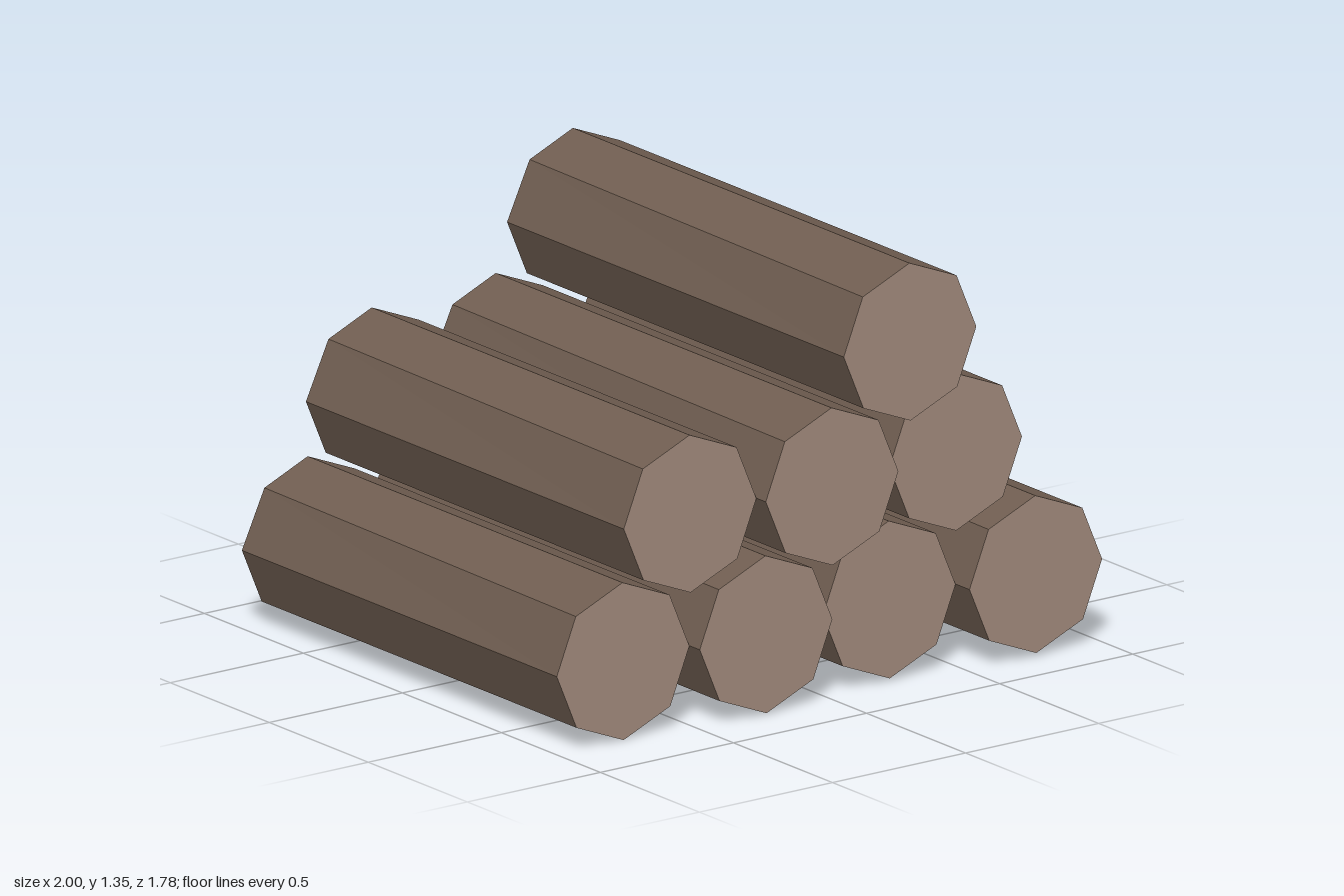
import * as THREE from 'three';

const bark = new THREE.MeshStandardMaterial({ color: 0x6f5d50, flatShading: true });
bark.name = 'bark brown';
const cutWood = new THREE.MeshStandardMaterial({ color: 0xa18a7c, flatShading: true });
cutWood.name = 'cut wood';

const RADIUS = 0.249;
const TILT = 0.008; // the whole stack leans very slightly

// Eight-sided log lying along z, with one slightly skewed edge at its back end
function makeLog(name, x, y, back, front) {
  const geo = new THREE.CylinderGeometry(RADIUS, RADIUS, front - back, 8);
  geo.rotateX(Math.PI / 2);
  const p = geo.attributes.position;
  for (let i = 0; i < p.count; i++) {
    const upperLeft = p.getX(i) < -0.1 && p.getY(i) > 0.1;
    if (upperLeft && p.getZ(i) < 0) p.setXY(i, p.getX(i) + 0.013, p.getY(i) + 0.005);
  }
  geo.computeVertexNormals();
  const log = new THREE.Mesh(geo, [bark, cutWood, cutWood]);
  log.name = name;
  log.position.set(x, y, (front + back) / 2);
  log.rotation.z = TILT;
  return log;
}

export function createModel() {
  const stack = new THREE.Group();
  stack.name = 'logPile';

  // Each row: first log centre, then [back z, front z] for each log
  const rows = [
    { name: 'bottomLog', x: -0.751, y: 0.255, ends: [[-0.81, 0.78], [-0.863, 0.83], [-0.815, 0.78], [-0.887, 0.848]] },
    { name: 'middleLog', x: -0.503, y: 0.676, ends: [[-0.82, 0.785], [-0.866, 0.83], [-0.82, 0.782]] },
    { name: 'topLog', x: 0.243, y: 1.107, ends: [[-0.807, 0.893]] },
  ];
  for (const row of rows) {
    row.ends.forEach(([back, front], i) => {
      const dx = i * 0.5;
      stack.add(makeLog(row.name + (i + 1), row.x + dx, row.y + dx * TILT, back, front));
    });
  }
  return stack;
}
